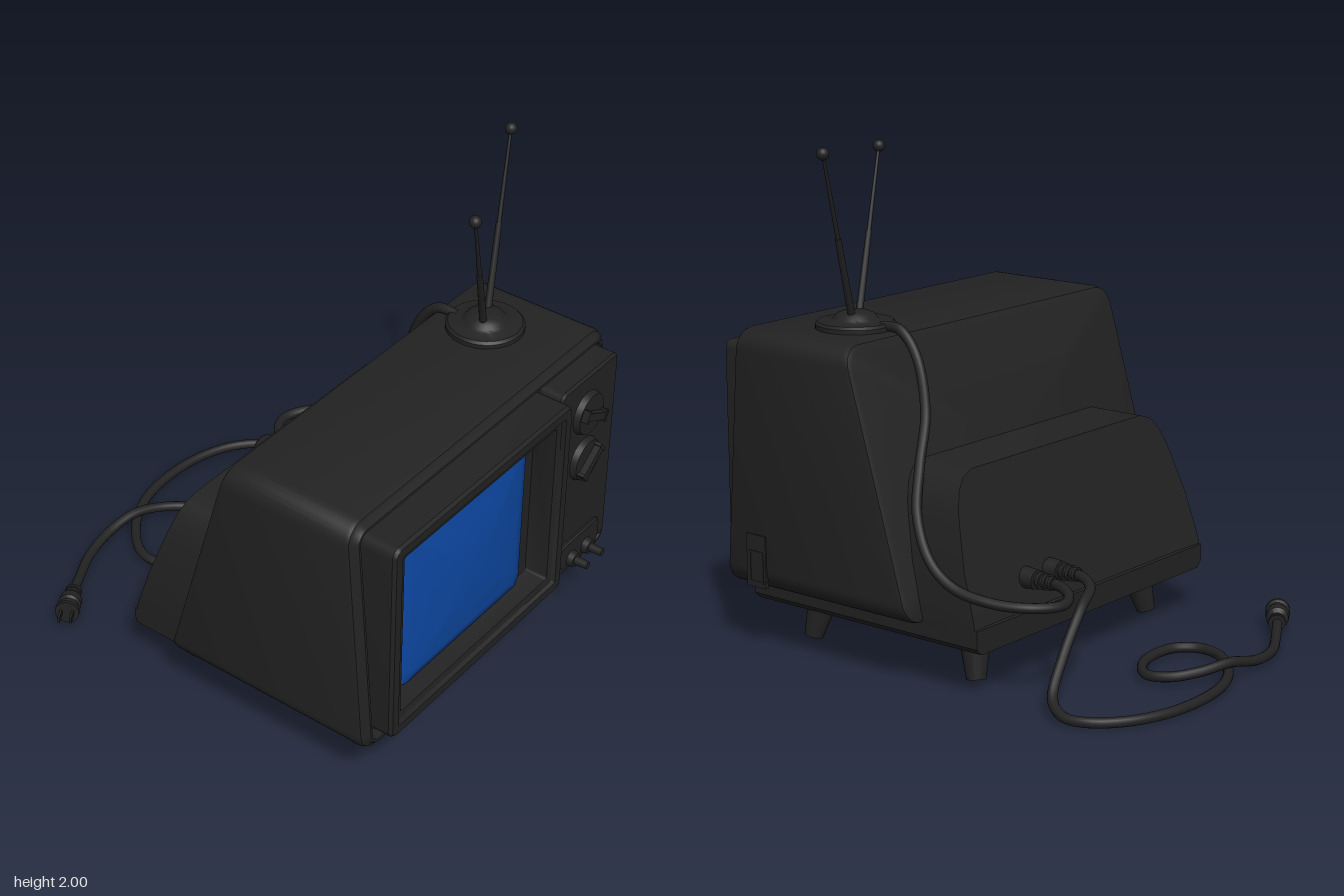
import * as THREE from 'three';
import { toCreasedNormals } from 'three/addons/utils/BufferGeometryUtils.js';

const dark = new THREE.MeshStandardMaterial({ color: 0x222222 });
const blue = new THREE.MeshStandardMaterial({ color: 0x0d47a1 });
const V = (x, y, z) => new THREE.Vector3(x, y, z);

function add(parent, name, geo, mat = dark) {
  const mesh = new THREE.Mesh(geo, mat);
  mesh.name = name;
  parent.add(mesh);
  return mesh;
}

// Rounded rectangle ring, counter-clockwise from the front; zf gives depth from x, y
function ring(x0, x1, y0, y1, r, inset, zf) {
  const pts = [], n = 7, rr = Math.max(r - inset, 0.012);
  x0 += inset; x1 -= inset; y0 += inset; y1 -= inset;
  const corners = [[x1 - rr, y0 + rr, -1], [x1 - rr, y1 - rr, 0], [x0 + rr, y1 - rr, 1], [x0 + rr, y0 + rr, 2]];
  for (const [cx, cy, q] of corners) {
    for (let k = 0; k <= n; k++) {
      const a = (q + k / n) * Math.PI / 2;
      const x = cx + rr * Math.cos(a), y = cy + rr * Math.sin(a);
      pts.push(V(x, y, typeof zf === 'function' ? zf(x, y) : zf));
    }
  }
  return pts;
}

// Skin rings from back to front and close both ends
function loft(rings, crease = 0.6) {
  const pos = [], tri = (...p) => p.forEach(v => pos.push(v.x, v.y, v.z));
  const n = rings[0].length;
  for (let s = 0; s < rings.length - 1; s++) {
    const a = rings[s], b = rings[s + 1];
    for (let i = 0; i < n; i++) {
      const j = (i + 1) % n;
      tri(a[i], a[j], b[j]);
      tri(a[i], b[j], b[i]);
    }
  }
  for (const [r, front] of [[rings[0], false], [rings[rings.length - 1], true]]) {
    const c = r.reduce((t, p) => t.add(p), V(0, 0, 0)).divideScalar(n);
    for (let i = 0; i < n; i++) {
      const p = r[i], q = r[(i + 1) % n];
      front ? tri(c, p, q) : tri(c, q, p);
    }
  }
  const g = new THREE.BufferGeometry();
  g.setAttribute('position', new THREE.Float32BufferAttribute(pos, 3));
  return toCreasedNormals(g, crease);
}

// Lathe along +z from [radius, z] pairs
function turned(profile, seg = 24) {
  const g = new THREE.LatheGeometry(profile.map(p => new THREE.Vector2(p[0], p[1])), seg);
  return toCreasedNormals(g.rotateX(Math.PI / 2).scale(1, 1, 1), 0.6);
}

function rod(parent, name, from, to, r0, r1, seg = 20) {
  const d = to.clone().sub(from);
  const mesh = add(parent, name, new THREE.CylinderGeometry(r1, r0, d.length(), seg));
  mesh.position.copy(from).addScaledVector(d, 0.5);
  mesh.quaternion.setFromUnitVectors(V(0, 1, 0), d.normalize());
  return mesh;
}

function cable(parent, name, pts, r) {
  const curve = new THREE.CatmullRomCurve3(pts.map(p => V(...p)));
  add(parent, name, new THREE.TubeGeometry(curve, pts.length * 8, r, 12));
}

export function createModel() {
  const tv = new THREE.Group();
  tv.name = 'television';

  // Cabinet with a sloped back and a shallow recess in the slightly leaning front
  const back = y => 0.24 - 0.293 * (1.275 - y);
  const front = y => 0.88 - 0.078 * (y - 0.25);
  const shell = (inset, zf) => ring(-0.82, 0.81, 0.25, 1.275, 0.085, inset, (x, y) => zf(y));
  add(tv, 'cabinet', loft([
    shell(0.025, back), shell(0.006, y => back(y) + 0.008), shell(0, y => back(y) + 0.03),
    shell(0, y => front(y) - 0.02), shell(0.007, y => front(y) - 0.005), shell(0.02, front),
    shell(0.035, y => front(y) + 0.02), shell(0.045, y => front(y) + 0.02), shell(0.055, y => front(y) - 0.02),
  ]));

  // Rear housing
  const half = [[0.72, 0.2], [0.72, 0.3], [0.705, 0.48], [0.675, 0.62], [0.658, 0.69], [0.63, 0.755], [0.59, 0.80], [0.53, 0.82]];
  const outline = [...half, ...half.map(([x, y]) => [-x, y]).reverse()];
  const rear = y => y < 0.25 ? -0.315 : -0.315 + 0.31 * (y - 0.25);
  add(tv, 'rearHousing', loft([outline.map(([x, y]) => V(x, y, rear(y))), outline.map(([x, y]) => V(x, y, 0.15))]));

  // Base plinth with chamfered lower edges
  const plinth = [[-0.695, 0.175], [0.695, 0.175], [0.72, 0.2], [0.72, 0.27], [-0.72, 0.27], [-0.72, 0.2]];
  add(tv, 'plinth', loft([-0.315, 0.815].map(z => plinth.map(([x, y]) => V(x, y, z)))));

  // Splayed legs
  for (const s of [-1, 1]) {
    for (const [name, z0, z1] of [['frontLeg', 0.635, 0.67], ['backLeg', -0.13, -0.165]]) {
      rod(tv, name, V(s * 0.545, 0.006, z1), V(s * 0.51, 0.19, z0), 0.038, 0.066);
    }
  }

  // Screen surround stepping back to the opening
  const frame = (inset, z) => ring(-0.75, 0.37, 0.32, 1.21, 0.04, inset, z);
  add(tv, 'screenSurround', loft([
    frame(0, 0.8), frame(0, 0.945), frame(0.01, 0.958), frame(0.045, 0.958),
    frame(0.055, 0.945), frame(0.08, 0.94), frame(0.088, 0.845),
  ]));

  // Bulging picture tube
  const glass = (s, depth = 0) => ring(-0.395, 0.395, -0.355, 0.355, 0.035, 0, 0).map(p =>
    V(-0.195 + p.x * s, 0.765 + p.y * s, 0.925 - 0.28 * (p.x * s) ** 2 - 0.12 * (p.y * s) ** 2 - depth));
  add(tv, 'screen', loft([glass(1, 0.05), glass(1, 0.012), glass(0.98),
    ...[0.85, 0.7, 0.55, 0.4, 0.25, 0.1].map(s => glass(s))], 0.9), blue);

  // Control panel
  const panel = (inset, z) => ring(0.375, 0.765, 0.32, 1.21, 0.03, inset, z);
  add(tv, 'controlPanel', loft([panel(0, 0.8), panel(0, 0.895), panel(0.01, 0.905)]));
  const plate = (inset, z) => ring(0.41, 0.7, 0.335, 0.45, 0.03, inset, z);
  add(tv, 'lowerControlPlate', loft([plate(0, 0.89), plate(0, 0.913), plate(0.007, 0.92)]));

  // Channel dials with grip bars
  for (const [y, tilt] of [[1.04, -0.45], [0.82, 0.65]]) {
    const dial = new THREE.Group();
    dial.name = 'channelDial';
    dial.position.set(0.555, y, 0.9);
    dial.rotation.z = tilt;
    tv.add(dial);
    const disc = new THREE.CylinderGeometry(0.085, 0.095, 0.03, 40).rotateX(Math.PI / 2);
    add(dial, 'dialDisc', disc).position.z = 0.015;
    add(dial, 'dialGrip', new THREE.BoxGeometry(0.14, 0.032, 0.03)).position.z = 0.042;
    for (const s of [-1, 1]) add(dial, 'gripEnd', new THREE.BoxGeometry(0.014, 0.05, 0.034)).position.set(s * 0.07, 0, 0.042);
  }

  // Small knobs
  for (const x of [0.5, 0.605]) {
    const knob = new THREE.Group();
    knob.name = 'smallKnob';
    knob.position.set(x, 0.36, 0.93);
    tv.add(knob);
    add(knob, 'knobCollar', new THREE.CylinderGeometry(0.03, 0.036, 0.03, 24).rotateX(Math.PI / 2));
    add(knob, 'knobStem', new THREE.CylinderGeometry(0.016, 0.02, 0.07, 20).rotateX(Math.PI / 2)).position.z = 0.035;
  }

  // Side switch on the left flank
  const sw = new THREE.Group();
  sw.name = 'sideSwitch';
  sw.position.set(0.81, 0.37, 0.71);
  tv.add(sw);
  add(sw, 'switchPlate', new THREE.BoxGeometry(0.012, 0.21, 0.1));
  for (const s of [-1, 1]) {
    add(sw, 'switchRim', new THREE.BoxGeometry(0.018, 0.125, 0.01)).position.set(0, -0.025, s * 0.033);
    add(sw, 'switchRim', new THREE.BoxGeometry(0.018, 0.01, 0.07)).position.set(0, -0.025 + s * 0.06, 0);
  }

  // Antenna
  const antenna = new THREE.Group();
  antenna.name = 'antenna';
  tv.add(antenna);
  const foot = [[0, 0], [0.155, 0], [0.155, 0.02], [0.145, 0.03], [0.095, 0.033], [0.085, 0.04],
    [0.075, 0.055], [0.05, 0.066], [0, 0.07]].map(p => new THREE.Vector2(...p));
  add(antenna, 'antennaFoot', toCreasedNormals(new THREE.LatheGeometry(foot, 40), 0.6)).position.set(0.505, 1.272, 0.455);
  for (const [a, b] of [[V(0.47, 1.31, 0.47), V(0.225, 1.93, 0.575)], [V(0.54, 1.31, 0.44), V(0.795, 1.977, 0.338)]]) {
    const mid = a.clone().lerp(b, 0.5);
    rod(antenna, 'lowerRod', a, mid, 0.015, 0.012, 12);
    rod(antenna, 'upperRod', mid, b, 0.009, 0.006, 12);
    add(antenna, 'rodTip', new THREE.SphereGeometry(0.024, 20, 14)).position.copy(b);
  }

  // Cables
  cable(tv, 'antennaCable', [[0.485, 1.29, 0.34], [0.485, 1.288, 0.25], [0.49, 1.2, 0.165], [0.53, 1.0, 0.087],
    [0.62, 0.82, 0.04], [0.695, 0.65, -0.01], [0.73, 0.5, -0.1], [0.73, 0.42, -0.21], [0.7, 0.385, -0.36],
    [0.63, 0.375, -0.5], [0.52, 0.37, -0.555], [0.42, 0.375, -0.505], [0.375, 0.385, -0.42], [0.37, 0.385, -0.3]], 0.02);
  cable(tv, 'powerCable', [[0.225, 0.385, -0.3], [0.228, 0.385, -0.41], [0.28, 0.37, -0.5], [0.4, 0.33, -0.55],
    [0.54, 0.18, -0.572], [0.65, 0.06, -0.61], [0.7, 0.025, -0.7], [0.68, 0.022, -0.8], [0.58, 0.022, -0.9],
    [0.42, 0.022, -0.965], [0.22, 0.022, -0.98], [0.05, 0.022, -0.95], [-0.1, 0.022, -0.87], [-0.22, 0.022, -0.74],
    [-0.235, 0.022, -0.64], [-0.18, 0.022, -0.57], [-0.08, 0.022, -0.55], [0.05, 0.022, -0.58], [0.145, 0.024, -0.67],
    [0.125, 0.03, -0.76], [0.04, 0.045, -0.84], [-0.08, 0.06, -0.892], [-0.22, 0.035, -0.915], [-0.38, 0.022, -0.885],
    [-0.5, 0.028, -0.825], [-0.62, 0.05, -0.755]], 0.02);

  // Rear connectors with ribbed strain reliefs
  const ribs = (parent, z, step) => {
    for (let i = 0; i < 3; i++) {
      add(parent, 'reliefRib', new THREE.CylinderGeometry(0.034 - i * 0.003, 0.034 - i * 0.003, 0.014, 20).rotateX(Math.PI / 2)).position.z = z + i * step;
    }
  };
  for (const x of [0.225, 0.37]) {
    const plug = new THREE.Group();
    plug.name = 'rearConnector';
    plug.position.set(x, 0.385, -0.26);
    plug.rotation.y = Math.PI;
    tv.add(plug);
    add(plug, 'connectorBody', new THREE.CylinderGeometry(0.038, 0.042, 0.06, 24).rotateX(Math.PI / 2)).position.z = 0.03;
    add(plug, 'relief', new THREE.CylinderGeometry(0.022, 0.026, 0.09, 20).rotateX(Math.PI / 2)).position.z = 0.1;
    ribs(plug, 0.08, 0.027);
  }

  // Mains plug lying on the floor
  const mains = new THREE.Group();
  mains.name = 'mainsPlug';
  mains.position.set(-0.61, 0.05, -0.76);
  mains.lookAt(-0.78, 0.06, -0.655);
  tv.add(mains);
  add(mains, 'plugBody', turned([[0, 0], [0.022, 0], [0.026, 0.04], [0.045, 0.055], [0.048, 0.09], [0.04, 0.1], [0.04, 0.125], [0.05, 0.13], [0.05, 0.145], [0, 0.145]].reverse().map(([r, z]) => [r, -z])).rotateY(Math.PI));
  ribs(mains, 0.005, 0.02);
  for (const s of [-1, 1]) add(mains, 'prong', new THREE.BoxGeometry(0.01, 0.022, 0.06)).position.set(s * 0.024, 0, 0.17);
  return tv;
}
